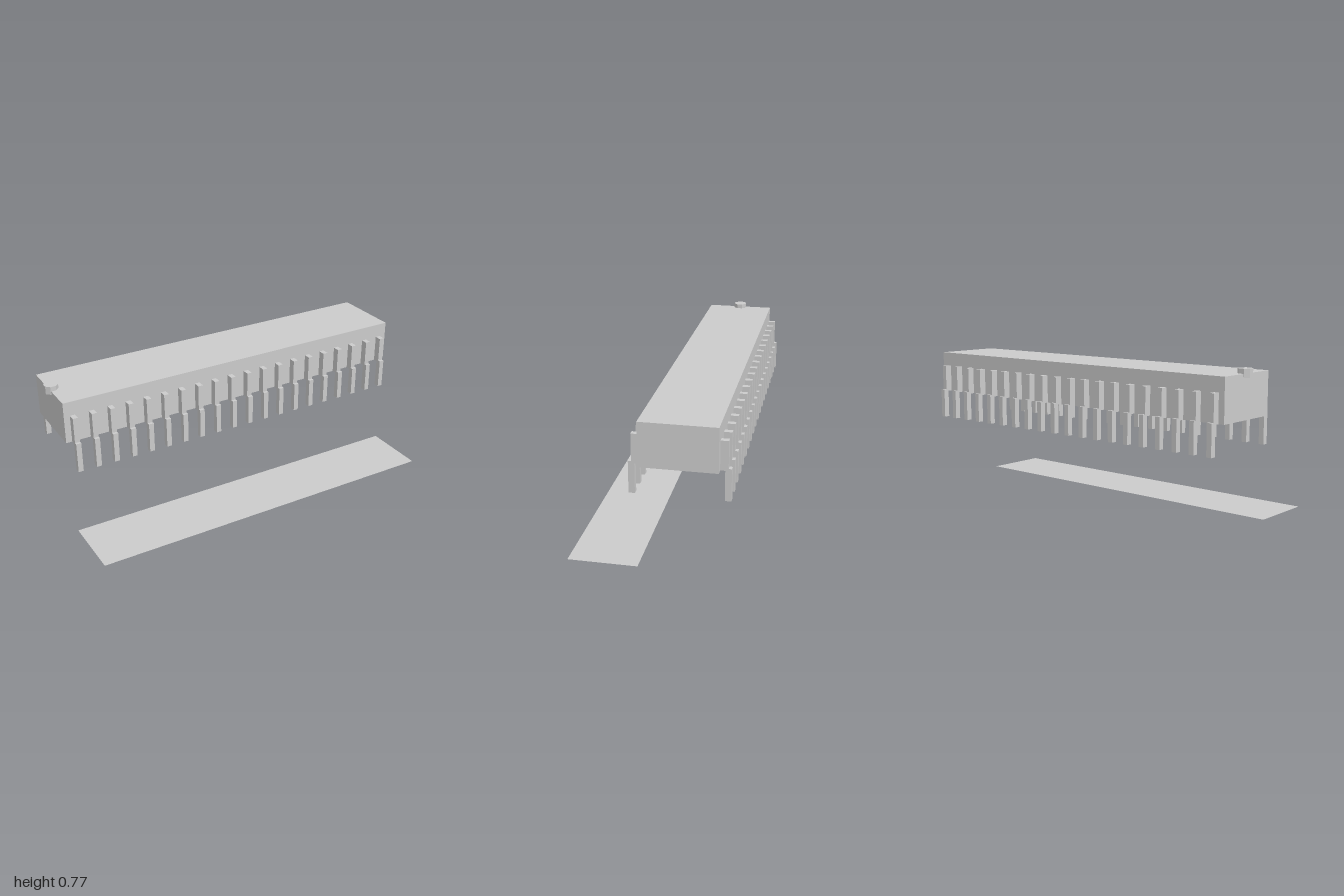
import * as THREE from 'three';

const MID_Z = -0.152; // centre line of the chip

export function createModel() {
  const model = new THREE.Group();
  const grey = new THREE.MeshStandardMaterial({ color: 0xcccccc, flatShading: true });
  const thin = new THREE.MeshStandardMaterial({ color: 0xcccccc, flatShading: true, side: THREE.DoubleSide });

  const add = (parent, name, geometry, x, y, z, material = grey) => {
    const mesh = new THREE.Mesh(geometry, material);
    mesh.name = name;
    mesh.position.set(x, y, z);
    parent.add(mesh);
    return mesh;
  };

  // Chip body
  add(model, 'body', new THREE.BoxGeometry(1.977, 0.22, 0.37), 0.0105, 0.633, MID_Z);

  // Octagonal marker near one end, flat sides facing the axes
  const marker = add(model, 'marker', new THREE.CylinderGeometry(0.037, 0.037, 0.042, 8), -0.966, 0.746, MID_Z);
  marker.rotation.y = Math.PI / 8;

  // Two rows of stepped pins
  const shoulder = new THREE.BoxGeometry(0.027, 0.145, 0.038);
  const leg = new THREE.BoxGeometry(0.027, 0.16, 0.03);
  for (const side of [1, -1]) {
    const row = new THREE.Group();
    row.name = side > 0 ? 'frontPins' : 'backPins';
    for (let i = 0; i < 20; i++) {
      const x = -0.933 + i * 0.099;
      add(row, 'pinShoulder', shoulder, x, 0.5955, MID_Z + side * 0.204);
      add(row, 'pinLeg', leg, x, 0.453, MID_Z + side * 0.223);
    }
    model.add(row);
  }

  // Flat sheet lying on the ground in front of the chip
  const sheet = add(model, 'groundSheet', new THREE.PlaneGeometry(1.95, 0.344), 0.01, 0, 0.218, thin);
  sheet.rotation.x = -Math.PI / 2;

  return model;
}
